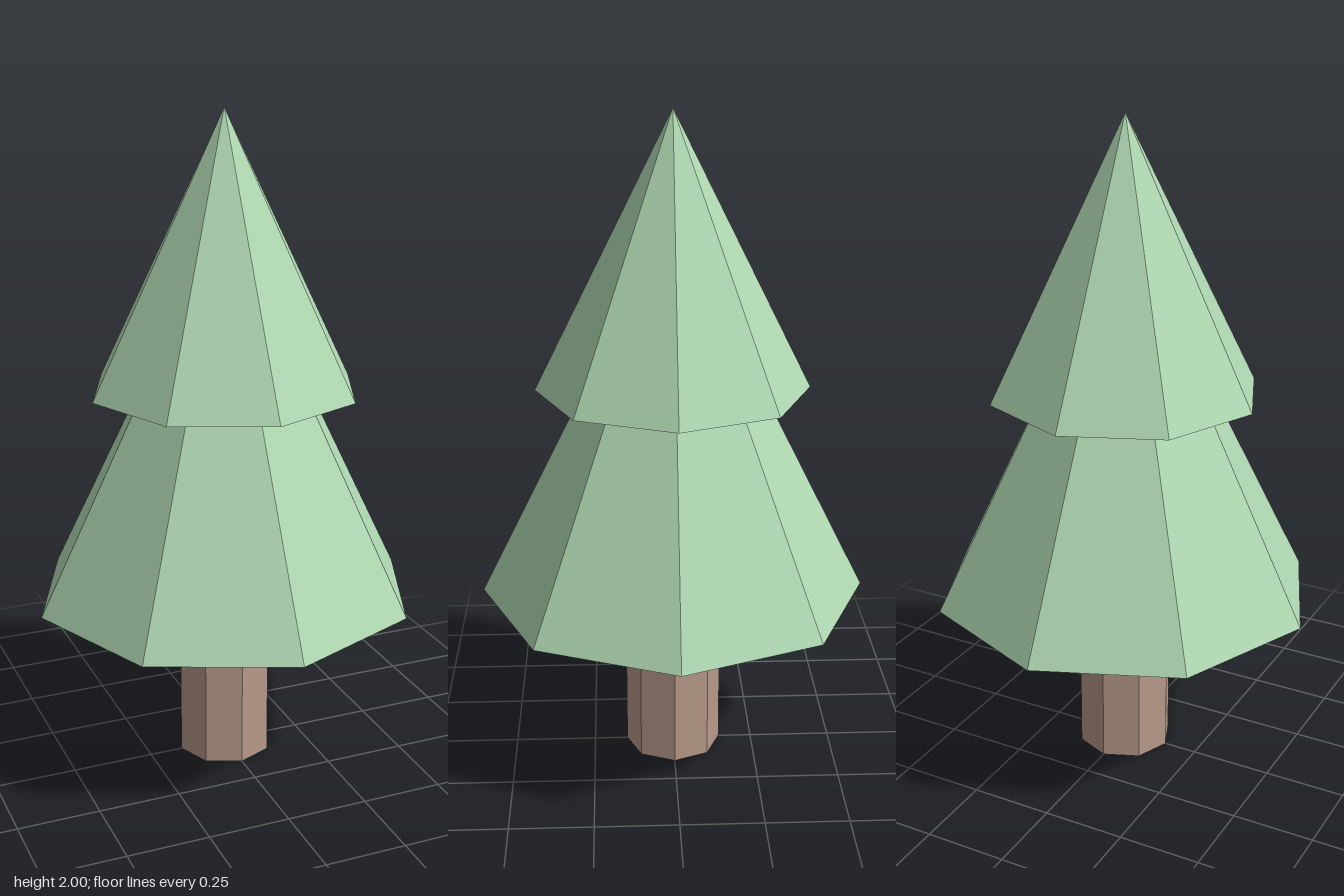
import * as THREE from 'three';

const SIDES = 8;

export function createModel() {
  const tree = new THREE.Group();
  tree.name = 'tree';

  const bark = new THREE.MeshStandardMaterial({ color: 0xb89a8a, flatShading: true });
  const needles = new THREE.MeshStandardMaterial({ color: 0xb0d8b2, flatShading: true });

  // Adds an eight-sided part standing on the given height
  const addPart = (name, geometry, material, height, base) => {
    const mesh = new THREE.Mesh(geometry, material);
    mesh.name = name;
    mesh.position.y = base + height / 2;
    tree.add(mesh);
  };

  // Trunk
  const trunkHeight = 0.534;
  addPart('trunk', new THREE.CylinderGeometry(0.147, 0.147, trunkHeight, SIDES), bark, trunkHeight, 0);

  // Foliage tiers, each cone twice as tall as its radius
  const tiers = [
    { name: 'lowerFoliage', radius: 0.587, base: 0.534 },
    { name: 'upperFoliage', radius: 0.41, base: 1.18 },
  ];
  for (const { name, radius, base } of tiers) {
    const height = radius * 2;
    addPart(name, new THREE.ConeGeometry(radius, height, SIDES), needles, height, base);
  }

  return tree;
}
